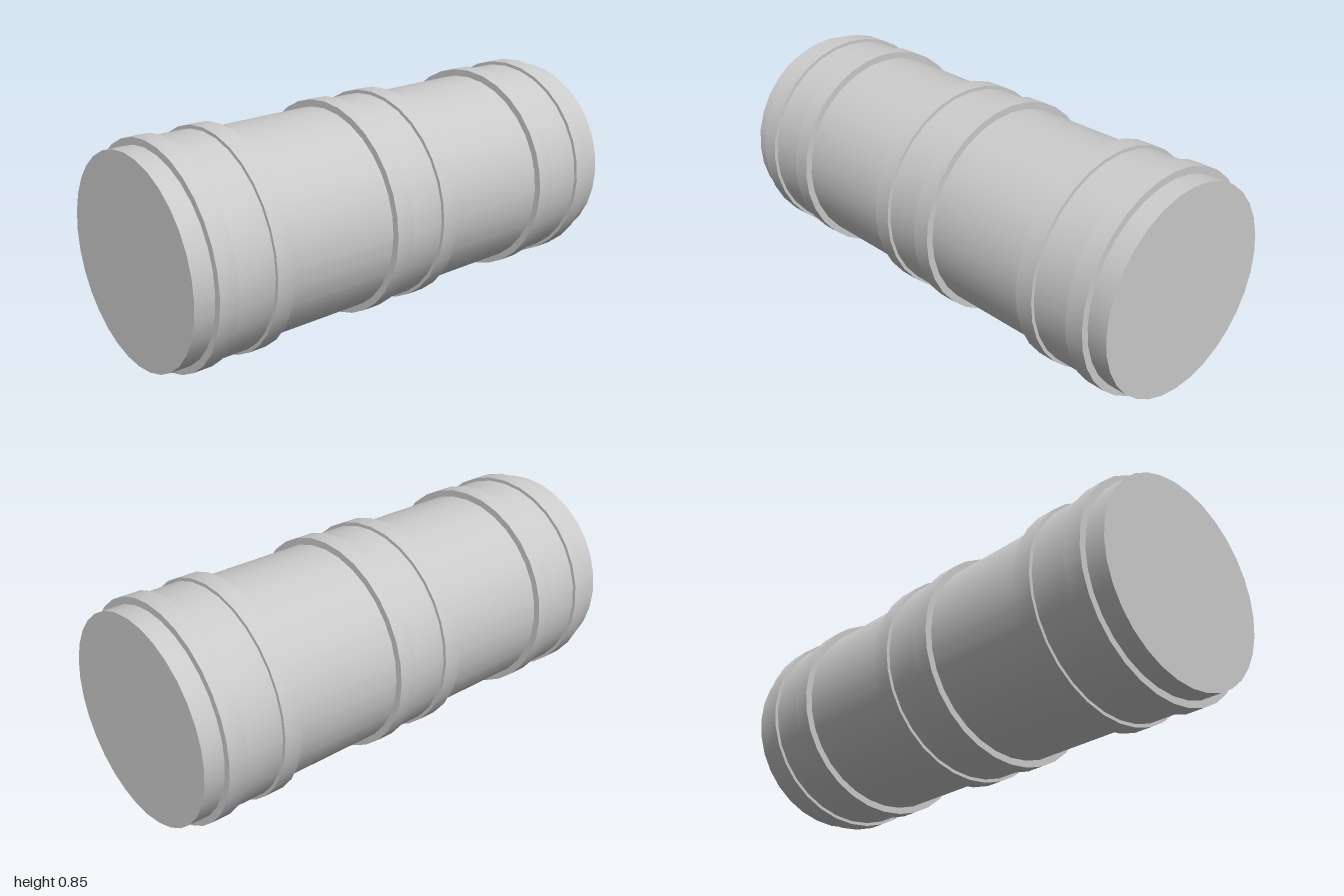
import * as THREE from 'three';
import { toCreasedNormals } from 'three/addons/utils/BufferGeometryUtils.js';

const SIDES = 32;
const BODY_R = 0.398, SLEEVE_R = 0.412, RIM_R = 0.425;

export function createModel() {
  const group = new THREE.Group();
  const material = new THREE.MeshStandardMaterial({ color: 0xcccccc });

  // The barrel lies along x, so every part is turned from y to x
  const add = (name, geometry, x) => {
    geometry.rotateZ(-Math.PI / 2);
    const mesh = new THREE.Mesh(geometry, material);
    mesh.name = name;
    mesh.position.set(x, RIM_R, 0);
    group.add(mesh);
  };

  // Main closed barrel
  add('barrel', new THREE.CylinderGeometry(BODY_R, BODY_R, 2, SIDES), 0);

  // Collar: a sleeve with a raised rim along both edges
  const profile = [
    [BODY_R, -0.152], [RIM_R, -0.152], [RIM_R, -0.078], [SLEEVE_R, -0.078],
    [SLEEVE_R, 0.078], [RIM_R, 0.078], [RIM_R, 0.152], [BODY_R, 0.152],
  ].map(([r, y]) => new THREE.Vector2(r, y));

  const collars = { rightCollar: -0.768, middleCollar: 0, leftCollar: 0.768 };
  for (const [name, x] of Object.entries(collars)) {
    add(name, toCreasedNormals(new THREE.LatheGeometry(profile, SIDES), 0.6), x);
  }

  return group;
}
